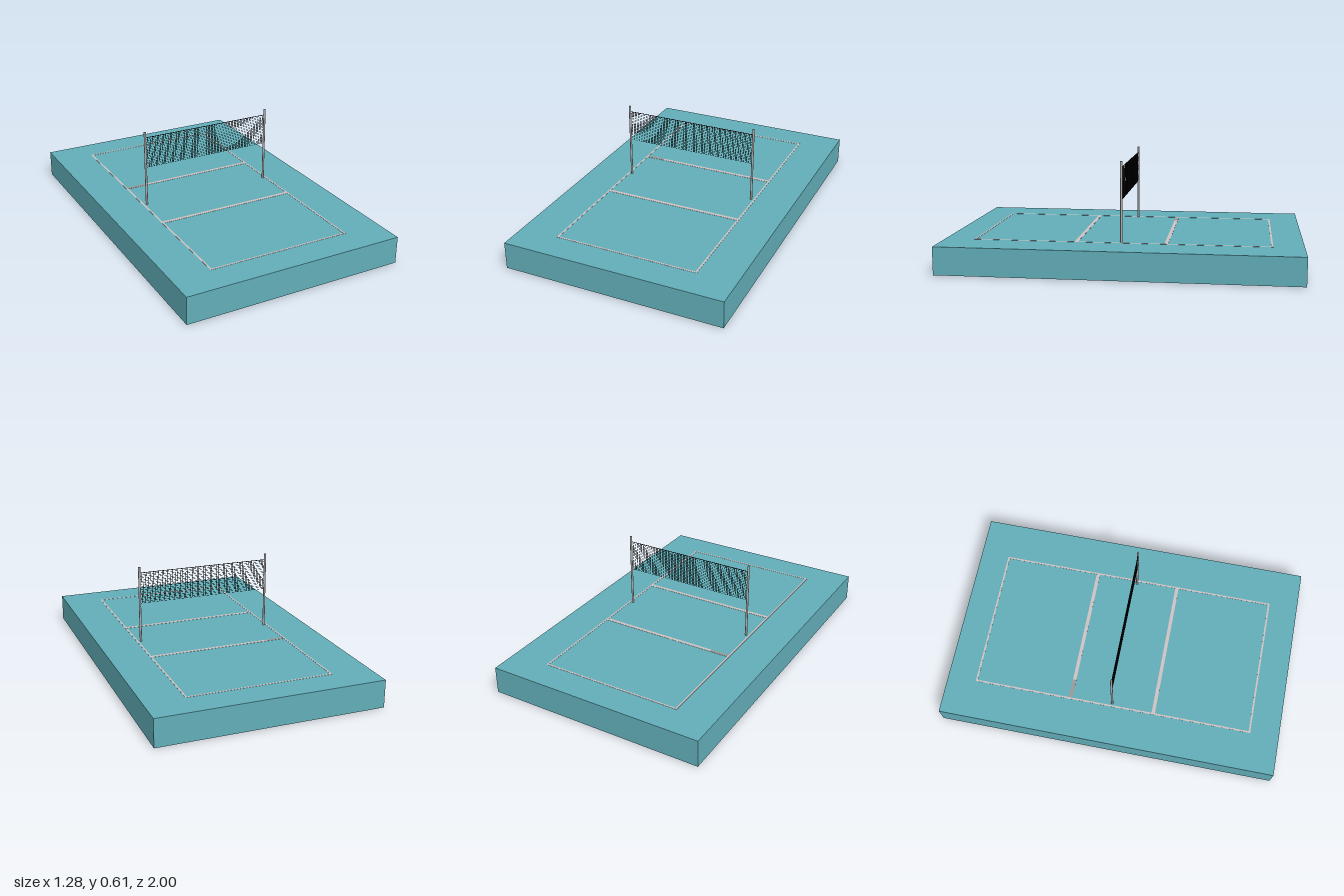
import * as THREE from 'three';
import { mergeGeometries } from 'three/addons/utils/BufferGeometryUtils.js';

const paint = (color) => new THREE.MeshStandardMaterial({ color });

function boxGeometry(w, h, d, x, y, z) {
  return new THREE.BoxGeometry(w, h, d).translate(x, y, z);
}

function addPart(group, name, geometry, material) {
  const mesh = new THREE.Mesh(geometry, material);
  mesh.name = name;
  group.add(mesh);
  return mesh;
}

export function createModel() {
  const model = new THREE.Group();
  model.name = 'netCourt';
  const teal = paint(0x62adb8);
  const lineGrey = paint(0xccc2c2);
  const wornGrey = paint(0x9c9696);
  const postGrey = paint(0xaaaaaa);
  const black = paint(0x0c0c0c);

  const top = 0.16;
  const skin = 0.001;

  // Floor slab, kept a hair thinner than the markings
  addPart(model, 'floorSlab', boxGeometry(1.28, top - 2 * skin, 2, 0, top / 2, 0), teal);

  // Court markings run through the slab and show above and below
  const marking = (w, d, x, z) => boxGeometry(w, top, d, x, top / 2, z);
  const border = [];
  for (const s of [-1, 1]) {
    border.push(marking(0.01, 1.662, s * 0.412, 0));
    border.push(marking(0.814, 0.01, 0, s * 0.826));
  }
  addPart(model, 'boundaryLines', mergeGeometries(border), lineGrey);
  addPart(model, 'frontAttackLine', marking(0.814, 0.02, 0, 0.25), lineGrey);
  addPart(model, 'backAttackLine', marking(0.702, 0.02, 0.056, -0.25), lineGrey);
  addPart(model, 'backAttackLineEnd', marking(0.112, 0.02, -0.351, -0.25), wornGrey);

  // Net posts
  const postHeight = 0.45;
  for (const [name, s] of [['leftPost', 1], ['rightPost', -1]]) {
    const post = new THREE.CylinderGeometry(0.0065, 0.0065, postHeight, 16);
    post.translate(s * 0.393, top + postHeight / 2, 0);
    addPart(model, name, post, postGrey);
  }

  // Net: a fine square grid of cords between the posts
  const net = new THREE.Group();
  net.name = 'net';
  model.add(net);
  const netBottom = 0.393, netTop = 0.575, halfWidth = 0.389;
  const rows = 18, columns = 76, cord = 0.0012;
  const cords = [];
  for (let i = 0; i <= rows; i++) {
    const y = netBottom + (netTop - netBottom) * i / rows;
    cords.push(boxGeometry(2 * halfWidth, cord, cord, 0, y, 0));
  }
  for (let i = 0; i <= columns; i++) {
    const x = halfWidth * (2 * i / columns - 1);
    cords.push(boxGeometry(cord, netTop - netBottom, cord, x, (netTop + netBottom) / 2, 0));
  }
  addPart(net, 'netMesh', mergeGeometries(cords), black);
  addPart(net, 'topCord', boxGeometry(2 * halfWidth, 0.003, 0.003, 0, netTop, 0), black);

  return model;
}
